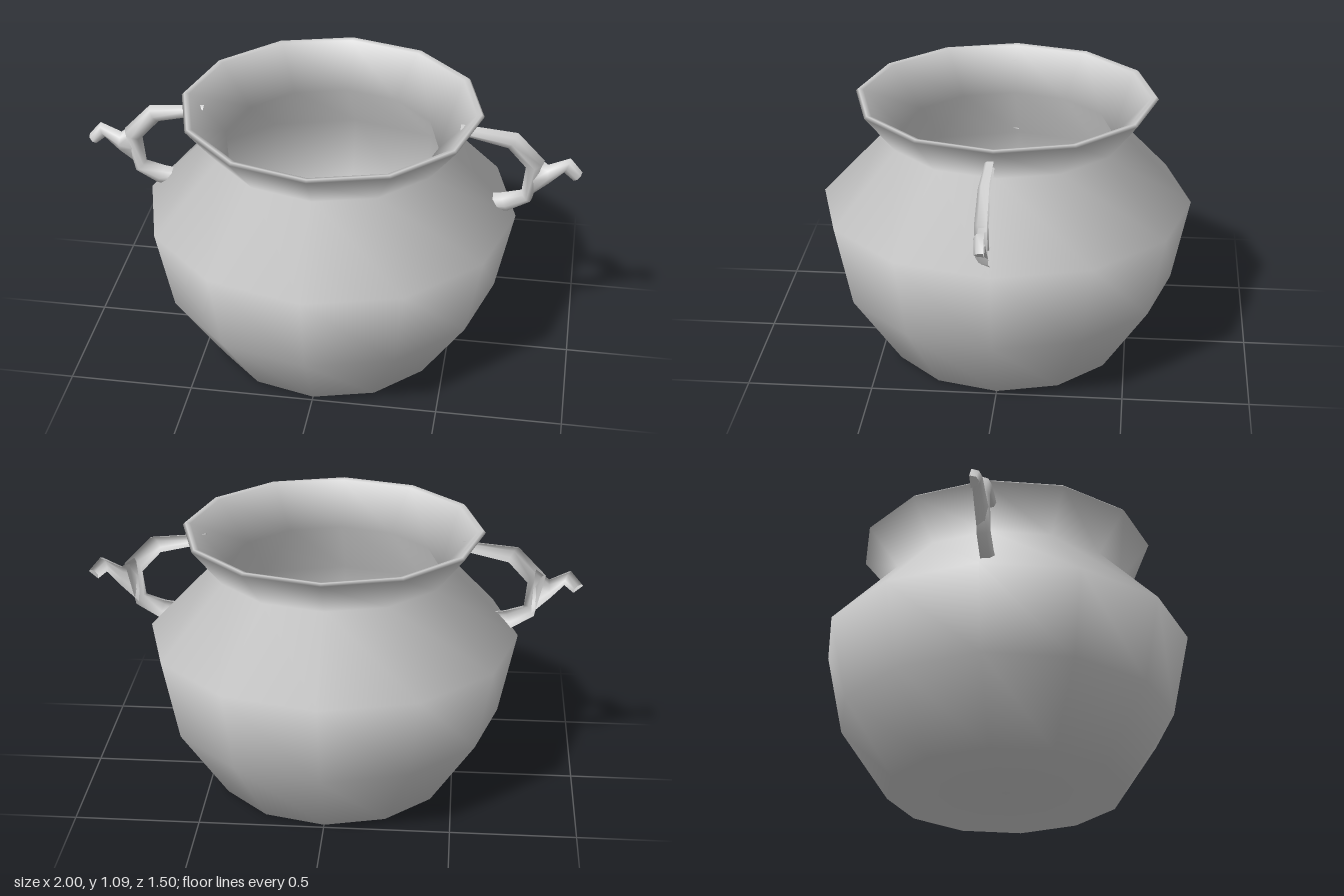
import * as THREE from 'three';

const SIDES = 12;

// Half-round strip, open at the back: each section is [outerX, outerY, innerX, innerY, depth]
function halfTube(sections, side, capEnd) {
  const arc = 4, pos = [], index = [];
  for (const [ox, oy, ix, iy, depth] of sections) {
    for (let j = 0; j <= arc; j++) {
      const a = Math.PI * (side > 0 ? j : arc - j) / arc;
      const t = (1 - Math.cos(a)) / 2;
      pos.push(side * (ox + (ix - ox) * t), oy + (iy - oy) * t, depth * Math.sin(a));
    }
  }
  const n = arc + 1;
  for (let i = 0; i < sections.length - 1; i++) {
    for (let j = 0; j < arc; j++) {
      const a = i * n + j, b = a + n;
      index.push(a, a + 1, b, a + 1, b + 1, b);
    }
  }
  if (capEnd) {
    // flat end with its own vertices, so the edge stays sharp
    const first = pos.length / 3;
    pos.push(...pos.slice(-3 * n));
    for (let j = 1; j < arc; j++) index.push(first, first + j, first + j + 1);
  }
  const geo = new THREE.BufferGeometry();
  geo.setAttribute('position', new THREE.Float32BufferAttribute(pos, 3));
  geo.setIndex(index);
  geo.computeVertexNormals();
  return geo;
}

export function createModel() {
  const model = new THREE.Group();
  model.name = 'pot';

  // Twelve-sided vessel: outside wall, rim, then inside wall down to the floor
  const profile = [
    [0, 0], [0.48, 0], [0.68, 0.3], [0.75, 0.64], [0.48, 0.925],
    [0.605, 1.08], [0.595, 1.09], [0.575, 1.085],
    [0.43, 0.925], [0.69, 0.64], [0.63, 0.31], [0.45, 0.04], [0, 0.04],
  ].map(([r, y]) => new THREE.Vector2(r, y));
  const body = new THREE.Mesh(
    new THREE.LatheGeometry(profile, SIDES),
    new THREE.MeshStandardMaterial({ color: 0xcccccc })
  );
  body.name = 'body';
  model.add(body);

  // Curved arch from the rim down to the shoulder
  const arch = [
    [0.515, 1.04, 0.515, 1.0, 0.035],
    [0.74, 1.02, 0.7, 0.957, 0.045],
    [0.85, 0.905, 0.778, 0.872, 0.05],
    [0.81, 0.727, 0.767, 0.765, 0.05],
    [0.72, 0.672, 0.69, 0.745, 0.05],
    [0.65, 0.67, 0.62, 0.735, 0.05],
  ];
  // Curled spur on the outside of the arch
  const spur = [
    [0.81, 0.93, 0.8, 0.74, 0.045],
    [0.865, 0.888, 0.87, 0.807, 0.045],
    [0.95, 0.925, 0.925, 0.866, 0.04],
    [1.0, 0.866, 0.963, 0.834, 0.035],
  ];
  const handleMaterial = new THREE.MeshStandardMaterial({ color: 0xcccccc, side: THREE.DoubleSide });
  for (const side of [1, -1]) {
    const handle = new THREE.Group();
    handle.name = side > 0 ? 'leftHandle' : 'rightHandle';
    const archMesh = new THREE.Mesh(halfTube(arch, side, false), handleMaterial);
    archMesh.name = 'handleArch';
    const spurMesh = new THREE.Mesh(halfTube(spur, side, true), handleMaterial);
    spurMesh.name = 'handleSpur';
    handle.add(archMesh, spurMesh);
    model.add(handle);
  }
  return model;
}
